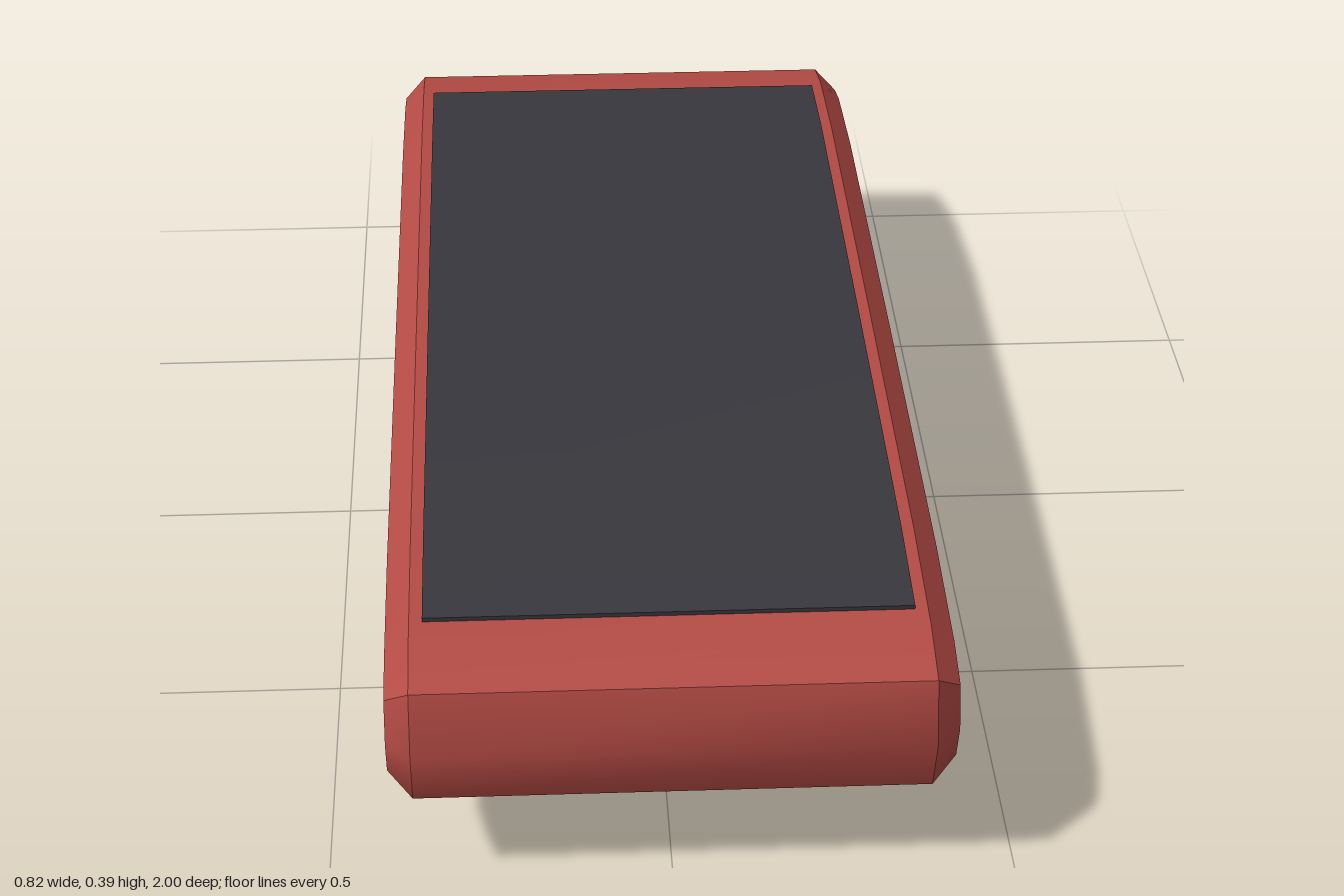
import * as THREE from 'three';
import { toCreasedNormals } from 'three/addons/utils/BufferGeometryUtils.js';

const red = new THREE.MeshStandardMaterial({ color: 0xb34a44 });
red.name = 'red casing';
const charcoal = new THREE.MeshStandardMaterial({ color: 0x37373d });
charcoal.name = 'charcoal';

// Side outline [z, y] extruded across x, centred
function acrossX(points, width, bevel) {
  const shape = new THREE.Shape(points.map(([z, y]) => new THREE.Vector2(z, y)));
  const geometry = new THREE.ExtrudeGeometry(shape, {
    depth: width - 2 * bevel,
    bevelEnabled: bevel > 0,
    bevelThickness: bevel,
    bevelSize: bevel,
    bevelOffset: -bevel,
    bevelSegments: 1,
  });
  geometry.translate(0, 0, -(width - 2 * bevel) / 2);
  geometry.rotateY(Math.PI / 2);
  return toCreasedNormals(geometry, 0.7);
}

// Add the mirrored half of an outline running from +z to -z
const mirrorZ = (half) => half.map(([z, y]) => [-z, y]).reverse();

export function createModel() {
  const model = new THREE.Group();
  const add = (name, geometry, material) => {
    const mesh = new THREE.Mesh(geometry, material);
    mesh.name = name;
    model.add(mesh);
    return mesh;
  };

  // Casing: slightly domed top and bottom, pointed ends, chamfered sides
  const upper = [[0.97, 0.34], [0.87, 0.365], [0.65, 0.381]];
  const lower = [[0.62, 0.114], [0.87, 0.13], [0.97, 0.155]];
  add('casing', acrossX([
    [1, 0.247], ...upper, [0, 0.384], ...mirrorZ(upper),
    [-1, 0.247], ...mirrorZ(lower), [0, 0.11], ...lower,
  ], 0.818, 0.036), red);

  // Top pad: thin sheet following the dome
  const padTop = [[0.835, 0.374], [0.65, 0.387]];
  const padBottom = [[0.65, 0.378], [0.835, 0.365]];
  add('topPad', acrossX([
    ...padTop, [0, 0.39], ...mirrorZ(padTop),
    ...mirrorZ(padBottom), [0, 0.381], ...padBottom,
  ], 0.708, 0), charcoal);

  // Eight-sided peg underneath
  const peg = new THREE.CylinderGeometry(0.073, 0.073, 0.14, 8);
  add('peg', toCreasedNormals(peg, 0.5), charcoal).position.y = 0.07;

  return model;
}
